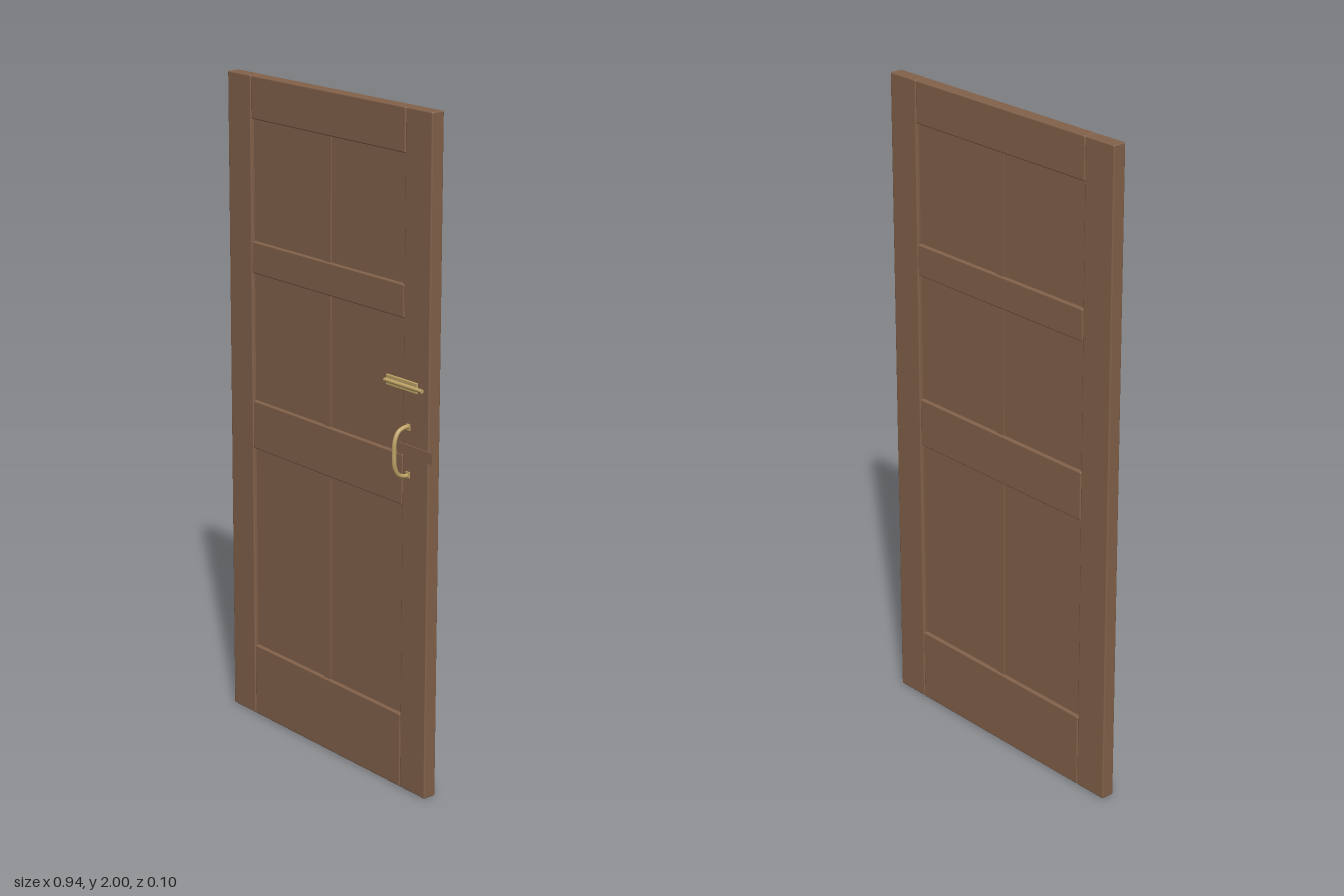
import * as THREE from 'three';
import { RoundedBoxGeometry } from 'three/addons/geometries/RoundedBoxGeometry.js';

export function createModel() {
  const model = new THREE.Group();
  model.name = 'panelDoor';
  const material = (name, color) => {
    const m = new THREE.MeshStandardMaterial({ color });
    m.name = name;
    return m;
  };
  const wood = material('brown wood', 0x83624b);
  const brass = material('brass', 0xc0a468);

  const add = (name, geometry, mat, parent = model) => {
    const mesh = new THREE.Mesh(geometry, mat);
    mesh.name = name;
    parent.add(mesh);
    return mesh;
  };
  // Box given by its extents, with optionally eased edges
  const block = (name, mat, [x0, x1], [y0, y1], [z0, z1], ease = 0, parent = model) => {
    const size = [x1 - x0, y1 - y0, z1 - z0];
    const geometry = ease ? new RoundedBoxGeometry(...size, 2, ease) : new THREE.BoxGeometry(...size);
    const mesh = add(name, geometry, mat, parent);
    mesh.position.set((x0 + x1) / 2, (y0 + y1) / 2, (z0 + z1) / 2);
    return mesh;
  };

  // Frame: two full-height stiles and four rails
  const depth = [-0.051, -0.009];
  block('leftHandStile', wood, [-0.469, -0.359], [0, 2], depth, 0.004);
  block('lockStile', wood, [0.338, 0.448], [0, 2], depth, 0.004);
  const rails = [[0, 0.228], [0.868, 1.018], [1.412, 1.508], [1.873, 2]];
  rails.forEach((y, i) => block(`rail${i + 1}`, wood, [-0.358, 0.337], y, depth, 0.004));

  // Recessed panels in pairs, with a slim upright between each pair
  const mid = -0.011;
  for (let i = 0; i < 3; i++) {
    const y = [rails[i][1] - 0.005, rails[i + 1][0] + 0.005];
    block('panelA', wood, [-0.364, mid - 0.012], y, [-0.039, -0.021]);
    block('panelB', wood, [mid + 0.012, 0.343], y, [-0.039, -0.021]);
    block('upright', wood, [mid - 0.016, mid + 0.016], y, [-0.043, -0.017]);
  }

  // Sliding bolt: back plate, rod, guides and a small knob
  const bolt = new THREE.Group();
  bolt.name = 'slidingBolt';
  model.add(bolt);
  block('boltPlate', brass, [0.272, 0.402], [1.21, 1.24], [-0.009, -0.001], 0.001, bolt);
  const rod = add('boltRod', new THREE.CylinderGeometry(0.006, 0.006, 0.16, 16), brass, bolt);
  rod.rotation.z = Math.PI / 2;
  rod.position.set(0.355, 1.226, 0.005);

  // Latch bar reaching past the door edge
  block('latchBar', wood, [0.32, 0.468], [1.02, 1.053], [-0.009, -0.005]);

  // Bowed pull handle with flattened feet
  const handle = new THREE.Group();
  handle.name = 'pullHandle';
  model.add(handle);
  const path = new THREE.CatmullRomCurve3([
    [1.107, -0.01], [1.106, 0.008], [1.098, 0.028], [1.075, 0.041], [1.035, 0.044],
    [0.995, 0.041], [0.972, 0.028], [0.964, 0.008], [0.963, -0.01],
  ].map(([y, z]) => new THREE.Vector3(0.364, y, z)));
  add('handleBow', new THREE.TubeGeometry(path, 48, 0.0065, 12), brass, handle);
  for (const y of [1.105, 0.965]) {
    block('handleFoot', brass, [0.356, 0.372], [y - 0.009, y + 0.009], [-0.009, -0.005], 0, handle);
  }
  return model;
}
